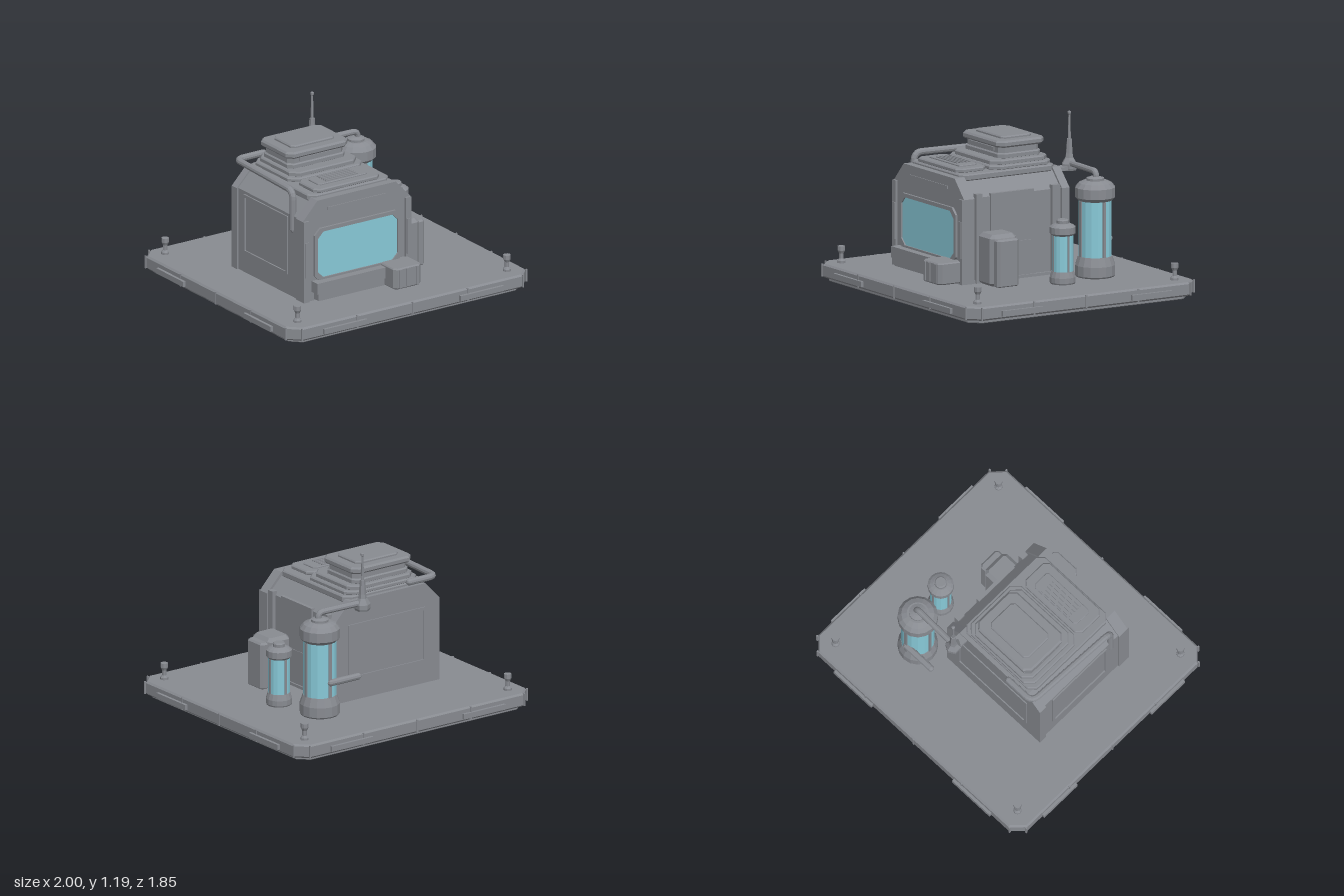
import * as THREE from 'three';

export function createModel() {
  const model = new THREE.Group();
  model.name = 'fieldLab';
  const hull = new THREE.MeshStandardMaterial({ color: 0x888b91, flatShading: true });
  hull.name = 'hull grey';
  const glass = new THREE.MeshStandardMaterial({ color: 0x88c9d8, flatShading: true });
  glass.name = 'pale blue glass';

  function add(name, geometry, material = hull, parent = model) {
    const mesh = new THREE.Mesh(geometry, material);
    mesh.name = name;
    parent.add(mesh);
    return mesh;
  }
  // Box given by its extents
  function box(name, x0, x1, y0, y1, z0, z1, material = hull) {
    const g = new THREE.BoxGeometry(x1 - x0, y1 - y0, z1 - z0);
    g.translate((x0 + x1) / 2, (y0 + y1) / 2, (z0 + z1) / 2);
    return add(name, g, material);
  }
  // Rectangle with cut corners
  function cutRect(x0, x1, y0, y1, c, Kind = THREE.Shape) {
    return new Kind([
      [x0 + c, y0], [x1 - c, y0], [x1, y0 + c], [x1, y1 - c],
      [x1 - c, y1], [x0 + c, y1], [x0, y1 - c], [x0, y0 + c],
    ].map(([x, y]) => new THREE.Vector2(x, y)));
  }
  // Horizontal slab with cut corners and a bevelled rim
  function slab(name, x0, x1, y0, y1, z0, z1, c, b = 0.008) {
    const g = new THREE.ExtrudeGeometry(cutRect(x0 + b, x1 - b, -z1 + b, -z0 - b, c), {
      depth: y1 - y0 - 2 * b, bevelSize: b, bevelThickness: b, bevelSegments: 1,
    });
    g.rotateX(-Math.PI / 2).translate(0, y0 + b, 0);
    return add(name, g);
  }
  // Upright plate facing +z, optionally with a cut-cornered opening
  function plate(shape, depth, z) {
    return new THREE.ExtrudeGeometry(shape, { depth, bevelEnabled: false }).translate(0, 0, z);
  }
  function frame(x0, x1, y0, y1, c, w) {
    const s = cutRect(x0, x1, y0, y1, c);
    s.holes.push(cutRect(x0 + w, x1 - w, y0 + w, y1 - w, c, THREE.Path));
    return s;
  }
  // Pipe with rounded elbows through the given points
  function pipe(name, points, r, bend = 0.05) {
    const p = points.map(a => new THREE.Vector3(...a));
    const path = new THREE.CurvePath();
    let from = p[0];
    for (let i = 1; i < p.length - 1; i++) {
      const a = p[i].clone().add(p[i - 1].clone().sub(p[i]).setLength(bend));
      const b = p[i].clone().add(p[i + 1].clone().sub(p[i]).setLength(bend));
      path.add(new THREE.LineCurve3(from, a));
      path.add(new THREE.QuadraticBezierCurve3(a, p[i], b));
      from = b;
    }
    path.add(new THREE.LineCurve3(from, p[p.length - 1]));
    add(name, new THREE.TubeGeometry(path, 60, r, 10, false));
    for (const end of [p[0], p[p.length - 1]]) {
      add(name + 'End', new THREE.SphereGeometry(r, 10, 6)).position.copy(end);
    }
  }
  function lathe(name, profile, sides, x, z, material = hull) {
    const g = new THREE.LatheGeometry(profile.map(([r, y]) => new THREE.Vector2(r, y)), sides);
    return add(name, g.translate(x, 0, z), material);
  }

  // Platform
  slab('platformFoot', -0.94, 0.94, 0, 0.035, -0.87, 0.87, 0.07, 0.005);
  slab('platform', -0.98, 0.98, 0.025, 0.12, -0.905, 0.905, 0.08, 0.012);
  for (const s of [-1, 1]) {
    for (const t of [-1, 1]) {
      const x = s * 0.555, z = t * 0.515;
      box('rimPlate', x - 0.175, x + 0.175, 0.045, 0.082, t * 0.91 - 0.015, t * 0.91 + 0.015);
      box('rimPlate', s * 0.985 - 0.015, s * 0.985 + 0.015, 0.045, 0.082, z - 0.16, z + 0.16);
      // Corner bollards
      lathe('bollard', [[0, 0.11], [0.028, 0.11], [0.028, 0.135], [0.016, 0.15], [0.016, 0.185],
        [0.026, 0.205], [0.026, 0.235], [0, 0.235]], 8, s * 0.853, t * 0.782);
    }
    for (const k of [-0.9, -0.45, 0, 0.45, 0.9]) {
      box('rimSeam', k - 0.005, k + 0.005, 0.03, 0.118, s * 0.905 - 0.006, s * 0.905 + 0.006);
      box('rimSeam', s * 0.98 - 0.006, s * 0.98 + 0.006, 0.03, 0.118, k * 0.92 - 0.005, k * 0.92 + 0.005);
    }
  }

  // Cabin shell: same section swept along z, wider at the end bands
  function cabinSection(x0, x1, top) {
    return new THREE.Shape([[x0, 0.115], [x1, 0.115], [x1, 0.7], [x1 - 0.12, top], [x0 + 0.12, top], [x0, 0.7]]
      .map(([x, y]) => new THREE.Vector2(x, y)));
  }
  add('cabin', plate(cabinSection(-0.61, 0.232, 0.822), 0.8, -0.31));
  add('cabinFrontBand', plate(cabinSection(-0.622, 0.255, 0.828), 0.08, 0.43));
  add('cabinBackBand', plate(cabinSection(-0.622, 0.25, 0.825), 0.06, -0.33));

  // Front wall and window
  add('windowFrame', plate(frame(-0.535, 0.17, 0.25, 0.63, 0.045, 0.026), 0.016, 0.51));
  add('window', plate(cutRect(-0.51, 0.142, 0.275, 0.605, 0.045), 0.008, 0.508), glass);
  box('frontLintel', -0.42, 0.05, 0.745, 0.765, 0.5, 0.516);
  for (const [x0, x1] of [[-0.622, -0.578], [0.208, 0.252]]) {
    box('frontPost', x0, x1, 0.12, 0.7, 0.49, 0.525);
    box('frontPostCap', x0 + 0.006, x1 - 0.006, 0.3, 0.55, 0.52, 0.532);
  }
  box('frontSill', -0.55, 0.02, 0.185, 0.262, 0.5, 0.58);
  box('frontSillBase', -0.53, 0.02, 0.13, 0.19, 0.5, 0.565);
  slab('frontUnit', 0.005, 0.228, 0.13, 0.278, 0.5, 0.69, 0.02);
  for (const x of [0.04, 0.095, 0.175]) {
    box('frontUnitRib', x, x + 0.02, 0.14, 0.27, 0.68, 0.697);
  }

  // Right wall posts, panel and cabinet
  for (const [z0, z1] of [[0.365, 0.415], [-0.25, -0.19]]) {
    box('sidePost', 0.22, 0.258, 0.12, 0.73, z0, z1);
  }
  box('sidePanel', 0.22, 0.245, 0.38, 0.72, -0.05, 0.29);
  box('sidePanelLower', 0.22, 0.24, 0.12, 0.375, -0.05, 0.29);
  box('sideSkirt', 0.22, 0.25, 0.12, 0.14, -0.3, 0.5);
  slab('cabinet', 0.23, 0.42, 0.115, 0.47, 0.185, 0.395, 0.012, 0.025);
  slab('cabinetDoor', 0.4, 0.47, 0.115, 0.445, 0.205, 0.375, 0.01, 0.012);

  // Framed panels on the back and left walls
  add('backPanelFrame', plate(frame(-0.5, 0.145, 0.27, 0.66, 0.004, 0.02), 0.014, -0.338));
  const leftFrame = plate(frame(-0.2, 0.32, 0.26, 0.68, 0.004, 0.02), 0.014, 0);
  add('leftPanelFrame', leftFrame.rotateY(-Math.PI / 2).translate(-0.606, 0, 0));

  // Roof tiers, hatch and upper vent box
  slab('roofBase', -0.52, 0.14, 0.8, 0.845, -0.3, 0.455, 0.04);
  slab('roofTier', -0.49, 0.115, 0.84, 0.872, -0.295, 0.19, 0.05);
  slab('roofTierTop', -0.46, 0.085, 0.865, 0.902, -0.285, 0.165, 0.05);
  slab('roofHatch', -0.465, 0.07, 0.84, 0.872, 0.205, 0.44, 0.03);
  slab('roofHatchLid', -0.4, 0, 0.865, 0.882, 0.24, 0.38, 0.015, 0.004);
  for (let i = 0; i < 5; i++) {
    box('hatchSlat', -0.33, -0.07, 0.878, 0.889, 0.25 + i * 0.025, 0.262 + i * 0.025);
  }
  slab('ventLower', -0.435, 0.035, 0.895, 0.935, -0.255, 0.085, 0.03);
  slab('ventCore', -0.425, 0.025, 0.92, 0.99, -0.245, 0.075, 0.03);
  slab('ventCap', -0.45, 0.052, 0.975, 1.022, -0.275, 0.1, 0.035, 0.012);
  slab('ventLid', -0.375, -0.02, 1.01, 1.04, -0.21, 0.03, 0.02);
  box('ventSlot', -0.35, -0.05, 0.945, 0.97, 0.06, 0.085);

  // Roof pipe, running forward and down the left side
  pipe('roofPipe', [[-0.35, 0.87, -0.352], [-0.57, 0.87, -0.352], [-0.602, 0.872, 0.365], [-0.602, 0.6, 0.365]], 0.023, 0.06);

  // Storage tanks
  function tank(x, z, r, y0, g0, g1, y1) {
    const k = r * 0.83;
    lathe('tankBase', [[0, y0], [r * 0.92, y0], [r, y0 + 0.015], [r, g0 - r * 0.45], [r * 0.85, g0], [0, g0]], 16, x, z);
    lathe('tankGlass', [[k, g0 - 0.005], [k, g1 + 0.005]], 16, x, z, glass);
    lathe('tankCap', [[0, g1], [r * 0.85, g1], [r, g1 + r * 0.16], [r, g1 + r * 0.65],
      [r * 0.82, y1 - r * 0.12], [r * 0.55, y1], [0, y1]], 16, x, z);
    for (let i = 0; i < 4; i++) {
      const a = i * Math.PI / 2;
      const strut = add('tankStrut', new THREE.BoxGeometry(r * 0.16, g1 - g0, r * 0.1));
      strut.position.set(x + Math.sin(a) * k, (g0 + g1) / 2, z + Math.cos(a) * k);
      strut.rotation.y = a;
    }
  }
  tank(0.445, -0.41, 0.136, 0.115, 0.26, 0.64, 0.775);
  lathe('largeTankCollar', [[0.06, 0.76], [0.06, 0.79], [0.03, 0.8], [0, 0.8]], 16, 0.445, -0.41);
  tank(0.545, -0.088, 0.088, 0.115, 0.205, 0.45, 0.53);
  lathe('smallTankKnob', [[0.042, 0.52], [0.042, 0.55], [0.034, 0.557], [0, 0.557]], 12, 0.545, -0.088);

  // Tank pipes
  pipe('tankPipe', [[0.1, 0.835, -0.42], [0.458, 0.835, -0.41], [0.458, 0.76, -0.41]], 0.021, 0.04);
  pipe('tankOutlet', [[0.21, 0.365, -0.525], [0.44, 0.365, -0.525]], 0.023);

  // Antenna
  lathe('antennaBase', [[0, 0.785], [0.05, 0.785], [0.055, 0.8], [0.055, 0.83], [0.03, 0.87], [0.025, 0.9],
    [0.018, 1.0], [0, 1.0]], 6, 0.098, -0.425);
  lathe('antennaMast', [[0.011, 0.99], [0.007, 1.165], [0.012, 1.17], [0.012, 1.185], [0, 1.19]], 8, 0.098, -0.425);
  box('antennaBracket', 0.06, 0.135, 0.79, 0.815, -0.42, -0.3);

  return model;
}
